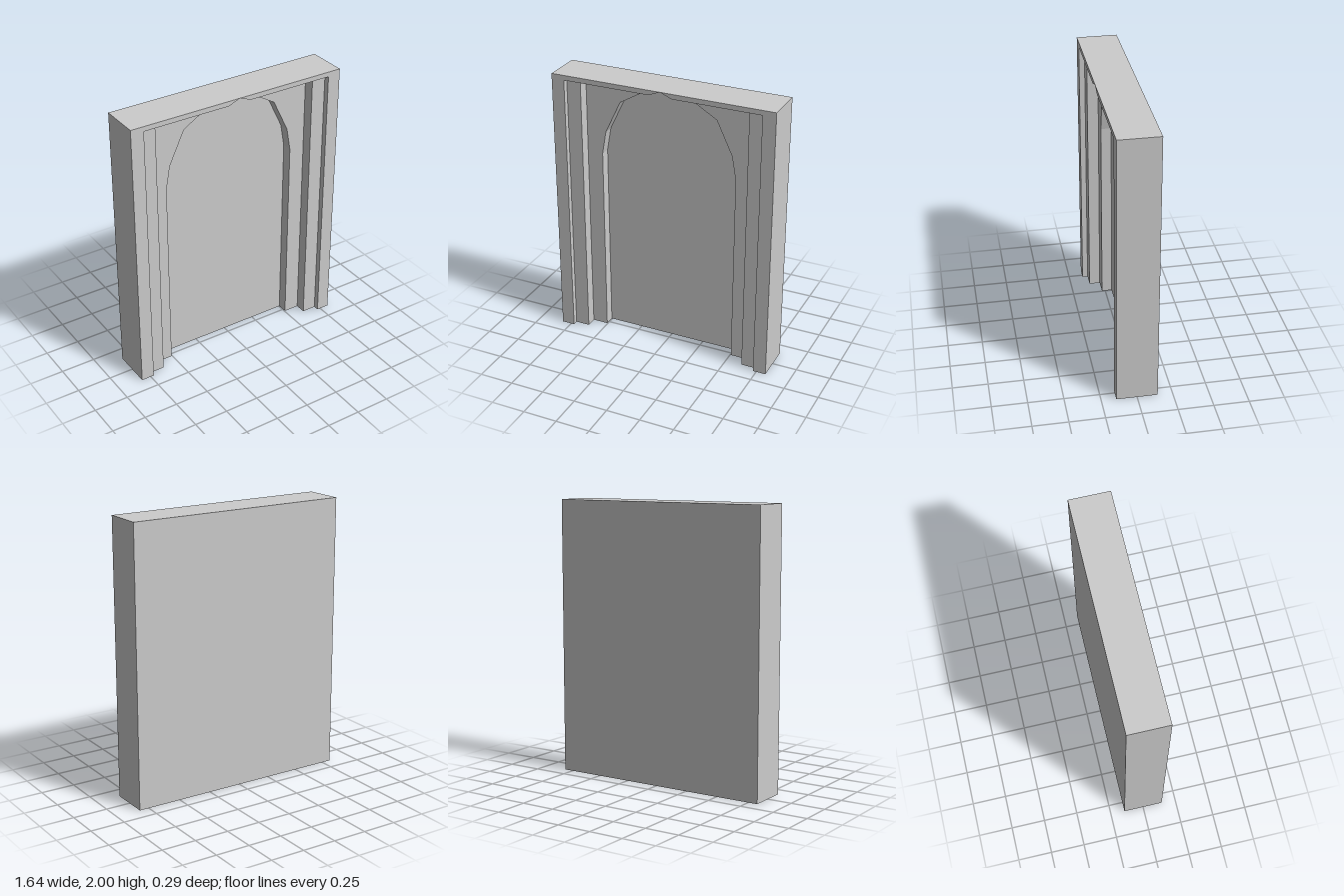
import * as THREE from 'three';

const HALF_W = 0.82, HEIGHT = 2, BACK = -0.145;

// Half outlines of the openings, from the floor up to the apex
const doorArch = [[0.44, 0], [0.44, 1.4], [0.405, 1.57], [0.28, 1.81], [0.09, 1.96], [0, HEIGHT]];
const outerArch = [[0.505, 0], [0.505, 1.41], [0.475, 1.58], [0.36, 1.82], [0.12, 1.962], [0.085, 1.965], [0, HEIGHT]];
const squareOpening = (w) => [[w, 0], [w, 1.965], [0.085, 1.965], [0, HEIGHT]];

// Frame layers, stepping outwards from the back to the front
const layers = [
  { name: 'doorSurround', opening: doorArch, z0: BACK, z1: -0.05 },
  { name: 'archedReveal', opening: outerArch, z0: -0.05, z1: 0.025 },
  { name: 'innerStep', opening: squareOpening(0.62), z0: 0.025, z1: 0.105 },
  { name: 'outerFrame', opening: squareOpening(0.725), z0: 0.105, z1: 0.145 },
];

function halfShape(points, side) {
  return new THREE.Shape(points.map(([x, y]) => new THREE.Vector2(x * side, y)));
}

export function createModel() {
  const group = new THREE.Group();
  const solid = new THREE.MeshStandardMaterial({ color: 0xcccccc });
  const thin = new THREE.MeshStandardMaterial({ color: 0xcccccc, side: THREE.DoubleSide });

  const add = (name, geometry, material, z) => {
    const mesh = new THREE.Mesh(geometry, material);
    mesh.name = name;
    mesh.position.z = z;
    group.add(mesh);
    return mesh;
  };

  for (const [side, label] of [[1, 'Left'], [-1, 'Right']]) {
    // Stepped frame: half a surround for every layer
    for (const { name, opening, z0, z1 } of layers) {
      const shape = halfShape([...opening, [HALF_W, HEIGHT], [HALF_W, 0]], side);
      const geometry = new THREE.ExtrudeGeometry(shape, { depth: z1 - z0, bevelEnabled: false });
      add(name + label, geometry, solid, z0);
    }

    // Hollow door leaf, open at the floor
    const leaf = new THREE.ShapeGeometry(halfShape([[0, 0], ...doorArch], side));
    add('doorFront' + label, leaf, thin, -0.05);
    const rear = leaf.clone().rotateY(Math.PI);
    add('doorBack' + label, rear, thin, BACK);
  }

  // Meeting edge of the two leaves
  const seam = new THREE.PlaneGeometry(0.095, HEIGHT).rotateY(Math.PI / 2);
  add('doorMeetingEdge', seam, thin, -0.0975).position.y = HEIGHT / 2;

  return group;
}
